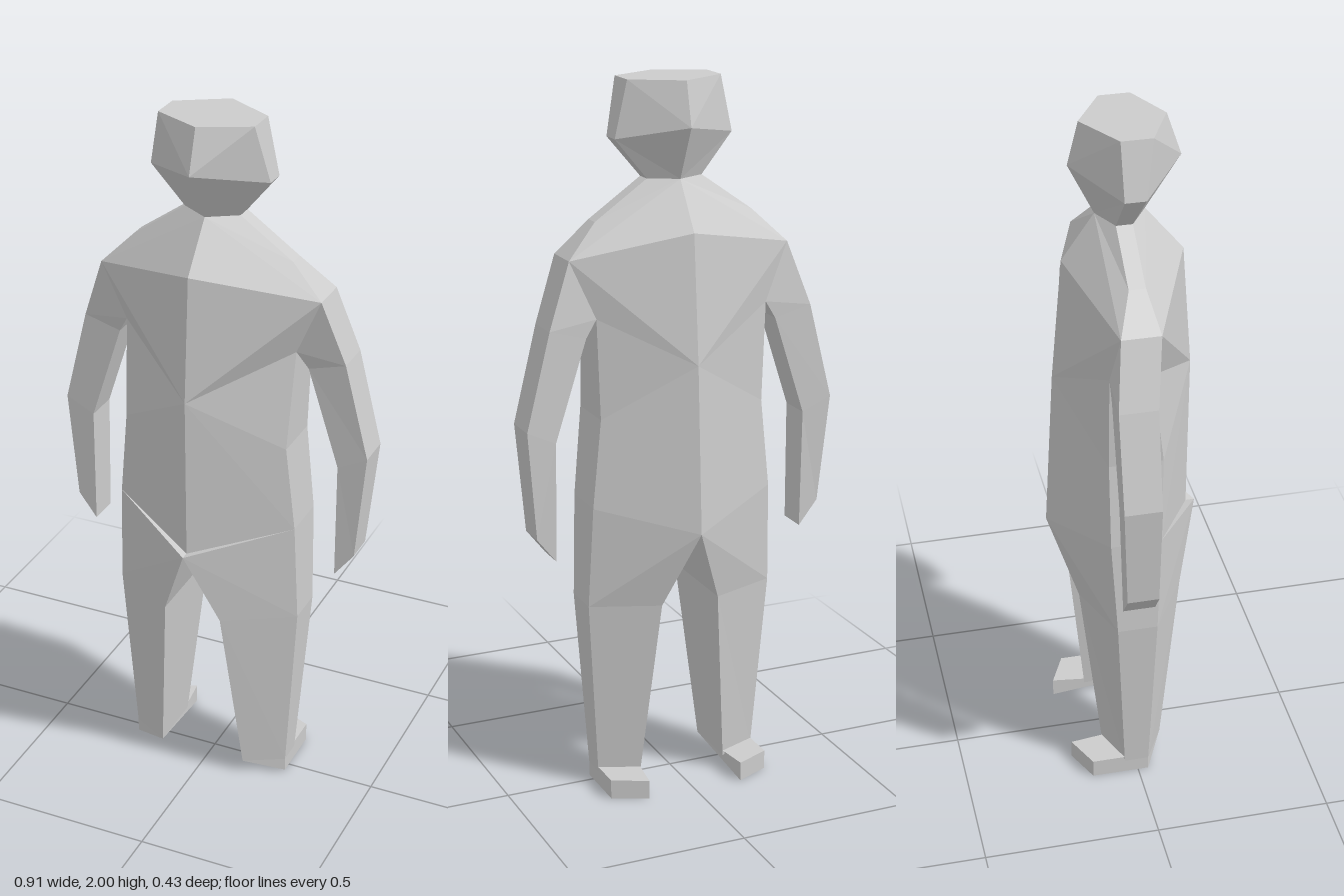
import * as THREE from 'three';

// Half outline of the figure: [x, y, front z, back z]
const P = {
  crownMid: [0, 2, 0.12, -0.11], crown: [0.135, 2, 0.055, -0.03],
  browMid: [0, 1.88, 0.16, -0.14], brow: [0.17, 1.845, 0.03, -0.027],
  neckMid: [0, 1.735, 0.065, -0.07], neck: [0.08, 1.735, 0.015, -0.03],
  collar: [0.23, 1.63, 0.015, -0.03], shoulder: [0.32, 1.54, 0.037, -0.07],
  chestMid: [0, 1.605, 0.17, -0.16], armpit: [0.25, 1.38, 0.03, -0.085],
  armIn: [0.28, 1.33, 0.015, -0.085], armOut: [0.385, 1.36, 0.015, -0.09],
  elbowIn: [0.37, 1.05, 0.015, -0.085], elbowOut: [0.453, 1.09, 0.012, -0.09],
  handIn: [0.37, 0.71, 0.015, -0.075], handOut: [0.425, 0.78, 0.012, -0.075],
  bellyMid: [0, 1.25, 0.195, -0.19], waist: [0.24, 1.1, 0.065, -0.085],
  hipMid: [0, 0.78, 0.19, -0.215], hip: [0.265, 0.85, 0.055, -0.085],
  crotch: [0, 0.78, 0.215, -0.215],
  kneeIn: [0.085, 0.56, 0.155, -0.14], kneeOut: [0.275, 0.56, 0.045, -0.068],
  ankleIn: [0.13, 0.04, 0.09, -0.085], ankleOut: [0.24, 0.04, 0.03, -0.04],
};

// Panels are mirrored front to back; rims are the walls joining the two
const BODY = {
  head: {
    panels: ['neckMid neck brow browMid', 'browMid brow crown crownMid'],
    rims: ['neck brow crown crownMid'],
  },
  torso: {
    panels: ['neckMid chestMid shoulder collar neck', 'bellyMid armpit shoulder chestMid',
      'bellyMid waist armpit', 'bellyMid hipMid hip waist'],
    rims: ['hip waist armpit', 'shoulder collar neck'],
  },
  arm: {
    panels: ['armpit armIn armOut shoulder', 'armIn elbowIn elbowOut armOut',
      'elbowIn handIn handOut elbowOut'],
    rims: ['armpit armIn elbowIn handIn handOut elbowOut armOut shoulder'],
  },
  leg: {
    panels: ['hipMid crotch hip', 'crotch kneeIn kneeOut hip', 'kneeIn ankleIn ankleOut kneeOut'],
    rims: ['crotch kneeIn ankleIn', 'ankleOut kneeOut hip'],
  },
};

const front = (n) => [P[n][0], P[n][1], P[n][2]];
const back = (n) => [P[n][0], P[n][1], P[n][3]];

function partFaces({ panels, rims }) {
  const faces = [];
  for (const panel of panels) {
    const names = panel.split(' ');
    faces.push(names.map(front));
    // keep the same fan diagonal on the back
    faces.push([names[0], ...names.slice(1).reverse()].map(back));
  }
  for (const rim of rims) {
    const n = rim.split(' ');
    for (let i = 0; i + 1 < n.length; i++) {
      faces.push([front(n[i]), back(n[i]), back(n[i + 1]), front(n[i + 1])]);
    }
  }
  return faces;
}

// Wedge foot with a short toe block
function footFaces() {
  const heel = front('ankleIn'), side = front('ankleOut');
  const topOut = [0.24, 0.055, -0.04], topIn = [0.13, 0.055, -0.085];
  const toeOut = [0.24, 0.055, -0.135], toeIn = [0.142, 0.055, -0.18];
  const soleHeel = [0.24, 0, 0.03], soleOut = [0.24, 0, -0.135], soleIn = [0.142, 0, -0.18];
  return [
    [heel, soleHeel, side],
    [soleHeel, soleOut, toeOut, topOut, side],
    [topOut, toeOut, toeIn, topIn],
    [toeOut, soleOut, soleIn, toeIn],
    [heel, topIn, toeIn, soleIn],
    [heel, soleIn, soleHeel],
    [soleHeel, soleIn, soleOut],
  ];
}

// Fan-triangulate polygons for the given sides (+1 left, -1 right)
function buildMesh(name, faces, sides, material) {
  const pos = [];
  for (const s of sides) {
    for (const f of faces) {
      for (let i = 1; i + 1 < f.length; i++) {
        const tri = s > 0 ? [f[0], f[i], f[i + 1]] : [f[0], f[i + 1], f[i]];
        for (const [x, y, z] of tri) pos.push(x * s, y, z);
      }
    }
  }
  const geo = new THREE.BufferGeometry();
  geo.setAttribute('position', new THREE.Float32BufferAttribute(pos, 3));
  geo.computeVertexNormals();
  const mesh = new THREE.Mesh(geo, material);
  mesh.name = name;
  return mesh;
}

export function createModel() {
  const group = new THREE.Group();
  group.name = 'figure';
  const material = new THREE.MeshStandardMaterial({ color: 0xcccccc, flatShading: true });

  // Head and torso span both sides
  for (const name of ['head', 'torso']) {
    group.add(buildMesh(name, partFaces(BODY[name]), [1, -1], material));
  }
  // Paired limbs
  for (const [label, s] of [['left', 1], ['right', -1]]) {
    group.add(buildMesh(label + 'Arm', partFaces(BODY.arm), [s], material));
    group.add(buildMesh(label + 'Leg', partFaces(BODY.leg), [s], material));
    group.add(buildMesh(label + 'Foot', footFaces(), [s], material));
  }
  return group;
}
